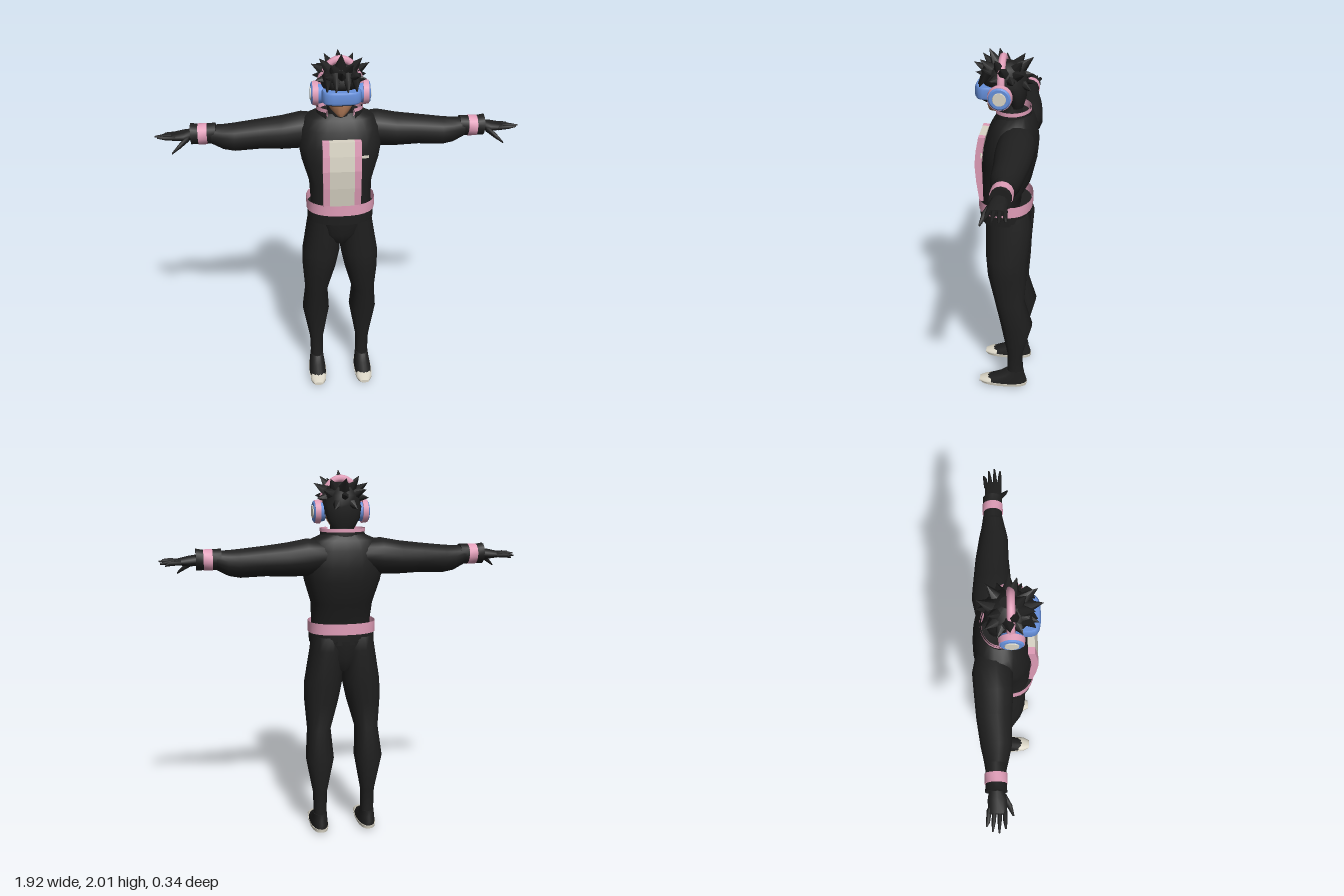
import * as THREE from 'three';

const mat = (name, color, side = THREE.FrontSide) => {
  const m = new THREE.MeshStandardMaterial({ color, side });
  m.name = name;
  return m;
};

// Ring axes per loft direction: [along, first, second]
const AXES = { x: [0, 2, 1], y: [1, 0, 2], z: [2, 1, 0] };

// Skin over oval sections [x, y, z, radiusFirst, radiusSecond]
function loft(axis, rows, { n = 14, p = 2, caps = true } = {}) {
  const [along, A, B] = AXES[axis];
  const pos = [], idx = [];
  const flip = rows[rows.length - 1][along] < rows[0][along];
  const tri = (a, b, c) => (flip ? idx.push(a, c, b) : idx.push(a, b, c));
  const pw = (v) => Math.sign(v) * Math.pow(Math.abs(v), 2 / p);
  const ring = (r) => {
    const start = pos.length / 3;
    for (let j = 0; j < n; j++) {
      const t = ((j + 0.5) / n) * Math.PI * 2, v = [r[0], r[1], r[2]];
      v[A] += r[3] * pw(Math.cos(t));
      v[B] += r[4] * pw(Math.sin(t));
      pos.push(...v);
    }
    return start;
  };
  const starts = rows.map(ring);
  for (let i = 0; i < rows.length - 1; i++) {
    for (let j = 0; j < n; j++) {
      const k = (j + 1) % n, a = starts[i], c = starts[i + 1];
      tri(a + j, c + j, a + k);
      tri(a + k, c + j, c + k);
    }
  }
  if (caps) {
    [rows[0], rows[rows.length - 1]].forEach((r, end) => {
      const s = ring(r), m = pos.length / 3;
      pos.push(r[0], r[1], r[2]);
      for (let j = 0; j < n; j++) {
        const k = (j + 1) % n;
        if (end) tri(m, s + k, s + j);
        else tri(m, s + j, s + k);
      }
    });
  }
  const g = new THREE.BufferGeometry();
  g.setAttribute('position', new THREE.Float32BufferAttribute(pos, 3));
  g.setIndex(idx);
  g.computeVertexNormals();
  return g;
}

export function createModel() {
  const root = new THREE.Group();
  root.name = 'figure';
  const black = mat('black cloth', 0x1f1f1f, THREE.DoubleSide);
  const pink = mat('pink trim', 0xe09db8, THREE.DoubleSide);
  const cream = mat('cream', 0xdad5c6);
  const blue = mat('visor blue', 0x6690dc);
  const skin = mat('skin', 0xb07a58);

  const add = (name, geo, material, parent = root) => {
    const m = new THREE.Mesh(geo, material);
    m.name = name;
    parent.add(m);
    return m;
  };
  // Vertical loft from rows of [y, halfWidth, zFront, zBack, centreX]
  const upright = (rows, opt) => loft('y', rows.map(([y, rx, f, b, cx = 0]) =>
    [cx, y, (f + b) / 2, rx, (f - b) / 2]), opt);

  // Jacket, hem and belt
  add('jacket', upright([
    [1.12, 0.16, 0.12, -0.08], [1.2, 0.162, 0.125, -0.082], [1.3, 0.168, 0.13, -0.137],
    [1.42, 0.205, 0.122, -0.165], [1.5, 0.22, 0.112, -0.173], [1.59, 0.21, 0.085, -0.162],
    [1.64, 0.18, 0.055, -0.145], [1.67, 0.11, 0.03, -0.125],
  ], { n: 22, p: 2.5 }), black);
  add('hem', upright([[1.08, 0.178, 0.138, -0.138], [1.15, 0.18, 0.14, -0.14]], { n: 24, p: 2.4 }), black);
  add('belt', upright([[1.138, 0.184, 0.146, -0.146], [1.198, 0.184, 0.146, -0.146]],
    { n: 24, p: 2.4, caps: false }), pink);
  add('pelvis', upright([[0.93, 0.05, 0.07, -0.1], [1.0, 0.12, 0.112, -0.135], [1.1, 0.165, 0.118, -0.14]],
    { n: 18, p: 2.4 }), black);

  // Raised front panel, following the chest
  const face = [[1.19, 0.132], [1.3, 0.148], [1.4, 0.156], [1.48, 0.148], [1.555, 0.134]];
  const outline = new THREE.Shape([
    ...face.map(([y, z]) => new THREE.Vector2(-z, y)),
    ...face.slice().reverse().map(([y, z]) => new THREE.Vector2(-z + 0.035, y)),
  ]);
  const strip = (name, x0, x1, m) => {
    const g = new THREE.ExtrudeGeometry(outline, { depth: x1 - x0, bevelEnabled: false });
    add(name, g.rotateY(Math.PI / 2).translate(x0, 0, 0), m);
  };
  strip('shirtPanel', -0.065, 0.065, cream);
  strip('leftPanelTrim', 0.065, 0.1, pink);
  strip('rightPanelTrim', -0.1, -0.065, pink);
  add('chestTab', new THREE.BoxGeometry(0.04, 0.012, 0.008).rotateY(0.2).translate(0.12, 1.463, 0.116), cream);

  // Neck and open collar
  add('neck', upright([[1.6, 0.08, 0.04, -0.1], [1.67, 0.066, 0.045, -0.085], [1.74, 0.06, 0.03, -0.08]]), black);
  const collar = (name, rTop, rBottom, y0, y1, m) => add(name,
    new THREE.CylinderGeometry(rTop, rBottom, y1 - y0, 20, 1, true, 0.65, Math.PI * 2 - 1.3)
      .scale(1.15, 1, 0.92).translate(0, (y0 + y1) / 2, -0.035), m);
  collar('collar', 0.103, 0.11, 1.61, 1.69, black);
  collar('collarLining', 0.098, 0.09, 1.63, 1.698, pink);
  collar('collarRim', 0.106, 0.106, 1.682, 1.7, pink);

  for (const s of [1, -1]) {
    const side = s > 0 ? 'left' : 'right';
    const across = (rows, opt) => loft('x', rows.map(([x, ...r]) => [s * x, ...r]), opt);

    // Sleeve, cuff and band
    const arm = new THREE.Group();
    arm.name = side + 'Arm';
    root.add(arm);
    add('sleeve', across([
      [0.1, 1.56, -0.07, 0.085, 0.08], [0.2, 1.552, -0.075, 0.1, 0.098], [0.3, 1.542, -0.071, 0.096, 0.089],
      [0.42, 1.537, -0.07, 0.086, 0.079], [0.55, 1.527, -0.062, 0.075, 0.075],
      [0.61, 1.53, -0.062, 0.062, 0.067], [0.67, 1.545, -0.064, 0.05, 0.05],
    ], { n: 16 }), black, arm);
    add('cuff', across([[0.645, 1.55, -0.064, 0.05, 0.056], [0.69, 1.55, -0.064, 0.05, 0.054],
      [0.735, 1.549, -0.064, 0.05, 0.052], [0.775, 1.552, -0.064, 0.052, 0.057]]), black, arm);
    add('wristBand', across([[0.69, 1.549, -0.064, 0.054, 0.056], [0.737, 1.549, -0.064, 0.054, 0.055]]), pink, arm);

    // Hand with tapered fingers
    add('palm', across([[0.76, 1.55, -0.062, 0.035, 0.03], [0.81, 1.545, -0.06, 0.046, 0.028],
      [0.875, 1.542, -0.06, 0.045, 0.016]], { n: 10 }), black, arm);
    [[0.93, 1.528, -0.11, -0.096], [0.955, 1.536, -0.082, -0.072], [0.962, 1.546, -0.052, -0.048], [0.945, 1.55, -0.022, -0.026]]
      .forEach(([x, y, z, z0]) => add('finger', across([[0.85, 1.542, z0, 0.012, 0.013],
        [0.91, (1.545 + y) / 2, (z + z0) / 2, 0.01, 0.011], [x, y, z, 0.004, 0.004]], { n: 7 }), black, arm));
    add('thumb', across([[0.785, 1.54, -0.035, 0.018, 0.018], [0.83, 1.51, -0.005, 0.015, 0.016],
      [0.872, 1.475, 0.014, 0.005, 0.005]], { n: 7 }), black, arm);

    // Trouser leg: [y, inner x, outer x, front z, back z]
    const leg = new THREE.Group();
    leg.name = side + 'Leg';
    root.add(leg);
    add('trouserLeg', upright([
      [0.08, 0.1, 0.172, -0.022, -0.115], [0.22, 0.098, 0.176, -0.023, -0.112], [0.43, 0.06, 0.215, 0.015, -0.166],
      [0.59, 0.07, 0.2, 0.05, -0.118], [0.75, 0.025, 0.212, 0.088, -0.13], [0.86, 0.002, 0.21, 0.098, -0.135],
      [1.05, 0, 0.178, 0.1, -0.15], [1.12, 0.01, 0.17, 0.1, -0.13],
    ].map(([y, i, o, f, b]) => [y, (o - i) / 2, f, b, s * (i + o) / 2]), { n: 16, p: 2.2 }), black, leg);

    // Shoe
    const cx = s * 0.137;
    add('sole', upright([[0, 0.049, 0.138, -0.138, cx], [0.018, 0.052, 0.142, -0.14, cx]], { n: 18, p: 2.6 }), cream, leg);
    add('shoe', upright([[0.016, 0.05, 0.13, -0.138, cx], [0.04, 0.047, 0.095, -0.135, cx],
      [0.065, 0.042, 0.03, -0.125, cx], [0.098, 0.038, -0.015, -0.12, cx]], { n: 18, p: 2.3 }), black, leg);
    add('toeCap', loft('z', [[cx, 0.018, 0.072, 0.028, 0.047], [cx, 0.017, 0.105, 0.021, 0.045],
      [cx, 0.015, 0.142, 0.01, 0.026]], { n: 12 }), cream, leg);

    // Headphone cup: stacked discs, outermost last
    const cup = new THREE.Group();
    cup.name = side + 'Headphone';
    root.add(cup);
    const disc = (name, r0, r1, x0, x1, m) => add(name, new THREE.CylinderGeometry(r1, r0, x1 - x0, 20)
      .rotateZ(-s * Math.PI / 2).translate(s * (x0 + x1) / 2, 1.782, 0.018), m, cup);
    disc('cushion', 0.05, 0.055, 0.09, 0.114, blue);
    disc('shell', 0.064, 0.06, 0.114, 0.143, pink);
    disc('ring', 0.058, 0.05, 0.143, 0.15, blue);
    disc('centre', 0.035, 0.033, 0.15, 0.155, cream);
  }

  // Head and visor
  add('face', upright([[1.675, 0.022, 0.088, 0.01], [1.695, 0.045, 0.095, -0.03], [1.735, 0.075, 0.1, -0.07],
    [1.79, 0.09, 0.1, -0.09], [1.85, 0.085, 0.09, -0.09]], { n: 16 }), skin);
  add('visor', upright([[1.757, 0.092, 0.148, 0.03], [1.768, 0.1, 0.155, 0.03], [1.81, 0.1, 0.155, 0.03],
    [1.82, 0.093, 0.148, 0.03]], { n: 22, p: 3 }), blue);
  add('visorFrame', upright([[1.742, 0.08, 0.115, 0.02], [1.76, 0.092, 0.135, 0.02]], { n: 20, p: 3 }), black);
  add('visorStrap', upright([[1.77, 0.104, 0.11, -0.1], [1.805, 0.106, 0.11, -0.1]], { n: 18 }), black);
  add('headband', new THREE.TorusGeometry(0.112, 0.014, 8, 28, Math.PI).scale(1, 1.52, 1.4)
    .translate(0, 1.782, 0.015), pink);

  // Hair: a cap with pointed locks
  add('hairCap', upright([[1.7, 0.06, -0.02, -0.09], [1.75, 0.088, -0.01, -0.105], [1.81, 0.1, 0.03, -0.11],
    [1.822, 0.102, 0.118, -0.11], [1.87, 0.102, 0.115, -0.108], [1.91, 0.08, 0.085, -0.085],
    [1.935, 0.03, 0.03, -0.035]], { n: 16 }), black);
  const lock = (x, y, z, from = [x * 0.4, 1.86 + (y - 1.86) * 0.25, z * 0.4], r = 0.042) => {
    const base = new THREE.Vector3(...from), tip = new THREE.Vector3(x, y, z);
    const dir = tip.clone().sub(base), len = dir.length();
    const cone = add('hairLock', new THREE.ConeGeometry(r, len, 6).translate(0, len / 2, 0), black);
    cone.position.copy(base);
    cone.quaternion.setFromUnitVectors(new THREE.Vector3(0, 1, 0), dir.normalize());
  };
  [[0, 2, 0.085], [0, 1.925, 0.165], [0, 1.96, -0.14], [0, 1.87, -0.145]].forEach((t) => lock(...t));
  [[0.108, 1.968, 0.045], [0.147, 1.932, 0.01], [0.14, 1.855, -0.05], [0.13, 1.865, 0.07],
    [0.055, 1.955, 0.125], [0.085, 1.9, 0.142], [0.075, 1.955, -0.09], [0.115, 1.9, -0.105],
    [0.06, 1.8, -0.135]].forEach(([x, y, z]) => [1, -1].forEach((s) => lock(s * x, y, z)));
  [-0.075, -0.03, 0.03, 0.075].forEach((x) =>
    lock(x, 1.812, 0.15 - Math.abs(x) * 0.25, [x * 0.9, 1.895, 0.085], 0.032));

  return root;
}
